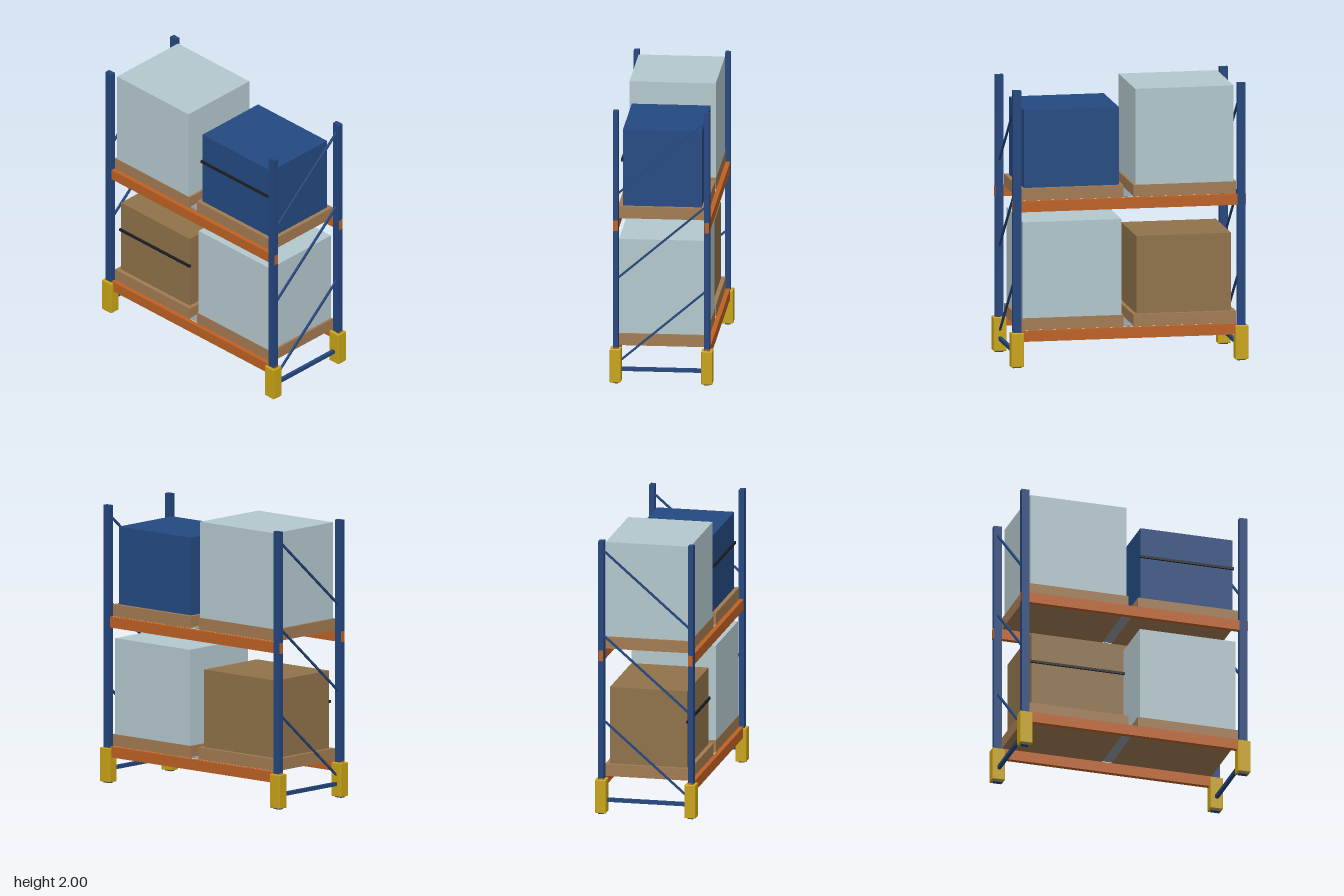
import * as THREE from 'three';
import { RoundedBoxGeometry } from 'three/addons/geometries/RoundedBoxGeometry.js';

const mat = (color) => new THREE.MeshStandardMaterial({ color });

export function createModel() {
  const model = new THREE.Group();
  model.name = 'palletRack';

  const blue = mat(0x24467e), orange = mat(0xbd6124), yellow = mat(0xcaa416);
  const wood = mat(0xa27b52), cardboard = mat(0x8f724a), wrap = mat(0xb4c8ce);
  const crateBlue = mat(0x244a82), black = mat(0x1c1e22), steel = mat(0x8f98a3);

  const add = (name, geometry, material, x, y, z) => {
    const mesh = new THREE.Mesh(geometry, material);
    mesh.name = name;
    mesh.position.set(x, y, z);
    model.add(mesh);
    return mesh;
  };
  // Box given by its size, centre in x and z, and bottom height
  const box = (name, material, w, h, d, x, bottom, z) =>
    add(name, new THREE.BoxGeometry(w, h, d), material, x, bottom + h / 2, z);

  const postX = 0.811, postZ = 0.326;

  for (const sx of [-1, 1]) {
    // Upright posts with foot guards
    for (const sz of [-1, 1]) {
      box('post', blue, 0.058, 2, 0.038, sx * postX, 0, sz * postZ);
      add('footGuard', new RoundedBoxGeometry(0.094, 0.245, 0.08, 1, 0.006),
        yellow, sx * postX, 0.131, sz * postZ);
    }
    // Bottom tie and the three diagonal braces of the end frame
    box('bottomTie', blue, 0.024, 0.027, 0.63, sx * postX, 0.087, 0);
    const rise = 0.56, run = 2 * postZ;
    for (let i = 0; i < 3; i++) {
      const brace = add('diagonalBrace',
        new THREE.BoxGeometry(0.014, 0.014, Math.hypot(rise, run)),
        blue, sx * postX, 0.414 + i * 0.622, 0);
      brace.rotation.x = Math.atan2(rise, run);
    }
  }

  // Two storage levels: beams, deck and pallets
  const levels = [0.265, 1.2];
  for (const top of levels) {
    for (const sz of [-1, 1]) {
      box('beam', orange, 1.686, 0.077, 0.034, 0, top - 0.078, sz * postZ);
    }
    box('deck', steel, 1.5, 0.006, 0.61, 0, top + 0.001, 0);
    for (const sx of [-1, 1]) {
      box('pallet', wood, 0.744, 0.086, 0.622, sx * 0.407, top, 0);
    }
  }

  // Loads: wrapped stacks, and smaller crates with a strap across the front
  const stack = (x, level) =>
    box('wrappedStack', wrap, 0.712, 0.692, 0.615, x, level + 0.086, 0);
  const crate = (x, level, material) => {
    box('crate', material, 0.686, 0.56, 0.562, x, level + 0.086, 0);
    box('strap', black, 0.698, 0.018, 0.018, x, level + 0.413, 0.285);
  };
  stack(0.406, levels[0]);
  stack(-0.406, levels[1]);
  crate(-0.406, levels[0], cardboard);
  crate(0.406, levels[1], crateBlue);

  return model;
}
